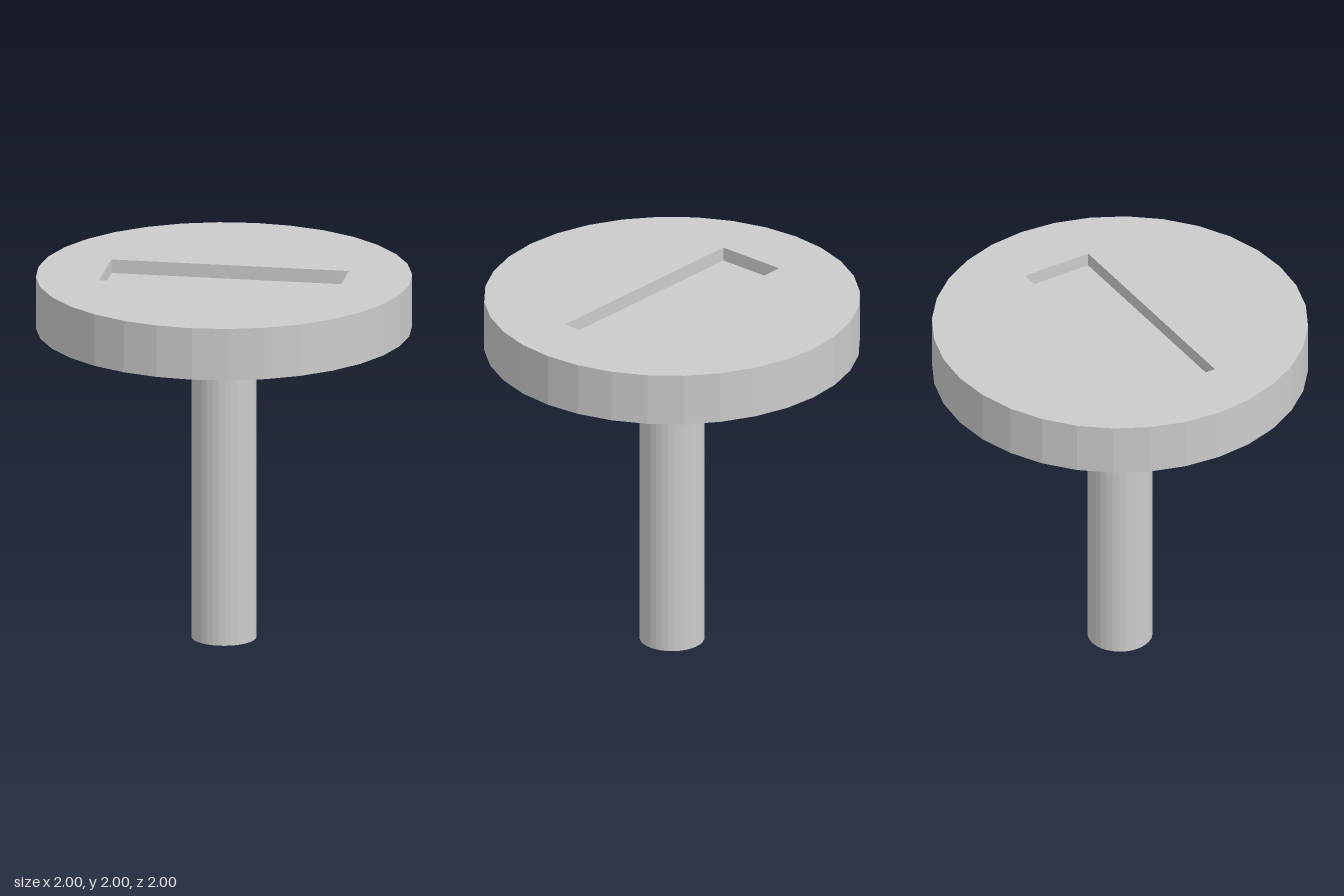
import * as THREE from 'three';

const SIDES = 32;
const HEAD_RADIUS = 1;
const HEAD_BOTTOM = 1.715;
const SLOT_FLOOR = 1.925;
const TOP = 2;
const SHANK_RADIUS = 0.173;
const SLOT_X = 0.64;
const SLOT_Z = 0.197;

const material = new THREE.MeshStandardMaterial({ color: 0xcccccc, flatShading: true });

function addPart(group, name, geometry, y) {
  const mesh = new THREE.Mesh(geometry, material);
  mesh.name = name;
  mesh.position.y = y;
  group.add(mesh);
}

// Cylinder standing between two heights
function addCylinder(group, name, radius, y0, y1) {
  addPart(group, name, new THREE.CylinderGeometry(radius, radius, y1 - y0, SIDES), (y0 + y1) / 2);
}

// Faceted disc with a rectangular slot cut through it
function slottedDisc(depth) {
  const outline = Array.from({ length: SIDES }, (_, i) => {
    const a = (i / SIDES) * Math.PI * 2;
    return new THREE.Vector2(Math.cos(a) * HEAD_RADIUS, Math.sin(a) * HEAD_RADIUS);
  });
  const shape = new THREE.Shape(outline);
  shape.holes.push(new THREE.Path([
    new THREE.Vector2(-SLOT_X, -SLOT_Z),
    new THREE.Vector2(-SLOT_X, SLOT_Z),
    new THREE.Vector2(SLOT_X, SLOT_Z),
    new THREE.Vector2(SLOT_X, -SLOT_Z),
  ]));
  return new THREE.ExtrudeGeometry(shape, { depth, bevelEnabled: false }).rotateX(-Math.PI / 2);
}

export function createModel() {
  const model = new THREE.Group();
  model.name = 'slottedScrew';

  // Plain round shank
  addCylinder(model, 'shank', SHANK_RADIUS, 0, HEAD_BOTTOM);

  // Head: solid disc forming the slot floor, slotted disc above it
  const head = new THREE.Group();
  head.name = 'head';
  addCylinder(head, 'headBase', HEAD_RADIUS, HEAD_BOTTOM, SLOT_FLOOR);
  addPart(head, 'slottedTop', slottedDisc(TOP - SLOT_FLOOR), SLOT_FLOOR);
  model.add(head);

  return model;
}
